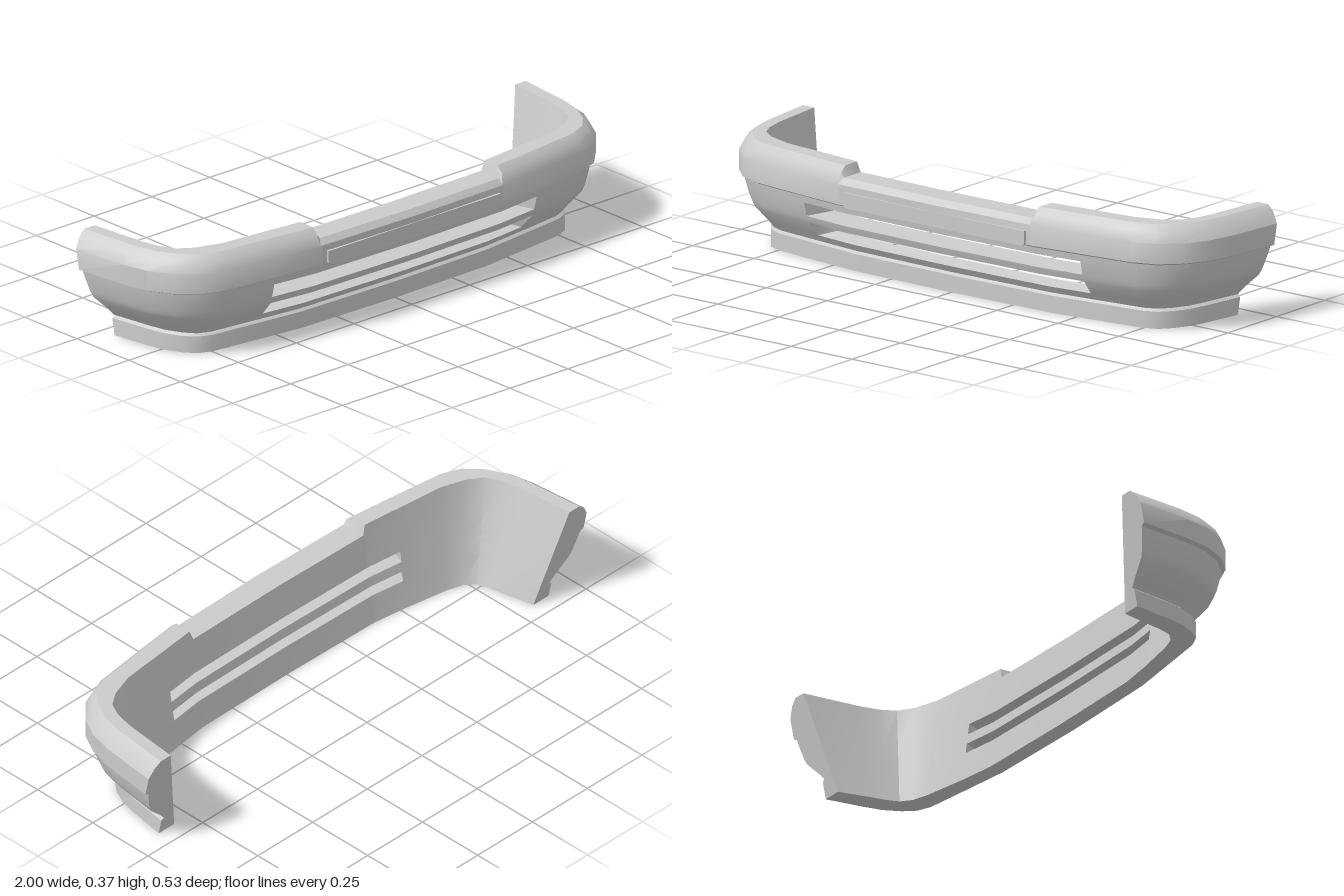
import * as THREE from 'three';
import { toCreasedNormals } from 'three/addons/utils/BufferGeometryUtils.js';

// Half plan, centre to rear end: outer x,z | outward direction x,z | inner top x,z | inner bottom x,z
const HALF = [
  [0, 0.262, 0, 1, 0, 0.162, 0, 0.112],
  [0.388, 0.255, 0.03, 1, 0.388, 0.157, 0.388, 0.107],
  [0.4, 0.255, 0.03, 1, 0.4, 0.157, 0.4, 0.106],
  [0.57, 0.236, 0.1, 1, 0.53, 0.143, 0.52, 0.09],
  [0.77, 0.211, 0.2, 0.98, 0.71, 0.125, 0.68, 0.062],
  [0.85, 0.181, 0.5, 0.87, 0.8, 0.095, 0.735, 0.045],
  [0.915, 0.118, 0.8, 0.6, 0.85, 0.06, 0.77, 0.015],
  [0.957, 0.04, 0.93, 0.37, 0.875, 0.01, 0.785, -0.03],
  [0.978, -0.05, 0.99, 0.12, 0.89, -0.06, 0.795, -0.08],
  [1, -0.264, 1, 0, 0.91, -0.264, 0.82, -0.19],
];
// Outer face from bottom to top: height, inset
const OUTER = [
  [0, 0.11], [0.057, 0.11], [0.065, 0.12], [0.09, 0.098], [0.14, 0.046],
  [0.152, 0.04], [0.165, 0.034], [0.212, 0.02], [0.235, 0.015],
  [0.242, 0], [0.31, 0], [0.345, 0.02], [0.365, 0.045],
];
// Inner face heights from top to bottom
const INNER = [0.365, 0.208, 0.17, 0.135, 0.1, 0];
const TOP = 0.365, CUT = 0.33;
// Air slots: lower outer row, and the inner row where the matching gap starts
const SLOTS = [{ o: 3, n: 16 }, { o: 6, n: 14 }];

function section([x, z, nx, nz, tx, tz, bx, bz], side) {
  const limit = x < 0.395 ? CUT : TOP;
  const rear = x === 1;
  const point = (px, y, pz) =>
    new THREE.Vector3(side * px, y, rear ? -0.264 + (TOP - y) * 0.203 : pz);
  const ring = OUTER.map(([y, inset], j) => {
    const d = limit === CUT && j === 12 ? 0.03 : inset;
    return point(x - d * nx, Math.min(y, limit), z - 0.82 * d * nz);
  });
  for (const h of INNER) {
    const y = Math.min(h, limit), t = y / TOP;
    ring.push(point(bx + (tx - bx) * t, y, bz + (tz - bz) * t));
  }
  return ring;
}

function shellGeometry() {
  const rings = [
    ...HALF.slice(1).reverse().map((s) => section(s, -1)),
    ...HALF.map((s) => section(s, 1)),
  ];
  const last = rings.length - 1, count = rings[0].length;
  const first = HALF.length - 4, end = last - first; // slot span
  const pos = [];
  const tri = (...p) => p.forEach((v) => pos.push(v.x, v.y, v.z));
  const quad = (a, b, c, d) => { tri(a, b, c); tri(a, c, d); };

  // Skin, leaving the slots open
  for (let i = 0; i < last; i++) {
    const A = rings[i], B = rings[i + 1];
    for (let j = 0; j < count; j++) {
      const k = (j + 1) % count;
      const open = i >= first && i < end && SLOTS.some((s) => s.o === j || s.n === j);
      if (!open) quad(A[j], B[j], B[k], A[k]);
    }
    // Slot floors and ceilings
    if (i >= first && i < end) {
      for (const { o, n } of SLOTS) {
        quad(A[o], B[o], B[n + 1], A[n + 1]);
        quad(A[n], B[n], B[o + 1], A[o + 1]);
      }
    }
  }
  // Slot ends
  for (const { o, n } of SLOTS) {
    const L = rings[first], R = rings[end];
    quad(L[o], L[n + 1], L[n], L[o + 1]);
    quad(R[o + 1], R[n], R[n + 1], R[o]);
  }
  // Rear end caps, facing backwards
  for (const ring of [rings[0], rings[last]]) {
    const flat = ring.map((p) => new THREE.Vector2(p.x, p.y));
    for (const [a, b, c] of THREE.ShapeUtils.triangulateShape(flat, [])) {
      const turn = flat[b].clone().sub(flat[a]).cross(flat[c].clone().sub(flat[a]));
      if (turn < 0) tri(ring[a], ring[b], ring[c]);
      else tri(ring[a], ring[c], ring[b]);
    }
  }
  const geo = new THREE.BufferGeometry();
  geo.setAttribute('position', new THREE.Float32BufferAttribute(pos, 3));
  return toCreasedNormals(geo, 0.5);
}

// Flat centre panel with rounded lower corners
function panelGeometry() {
  const w = 0.372, y0 = 0.238, y1 = 0.288, r = 0.015;
  const s = new THREE.Shape();
  s.moveTo(-w, y1);
  s.lineTo(-w, y0 + r);
  s.quadraticCurveTo(-w, y0, -w + r, y0);
  s.lineTo(w - r, y0);
  s.quadraticCurveTo(w, y0, w, y0 + r);
  s.lineTo(w, y1);
  s.closePath();
  const geo = new THREE.ExtrudeGeometry(s, { depth: 0.02, bevelEnabled: false, curveSegments: 6 });
  return geo.translate(0, 0, 0.244);
}

export function createModel() {
  const group = new THREE.Group();
  group.name = 'frontBumper';
  const material = new THREE.MeshStandardMaterial({ color: 0xcccccc });
  const add = (name, geo) => {
    const mesh = new THREE.Mesh(geo, material);
    mesh.name = name;
    group.add(mesh);
  };
  add('bumperShell', shellGeometry());
  add('centrePanel', panelGeometry());
  return group;
}
